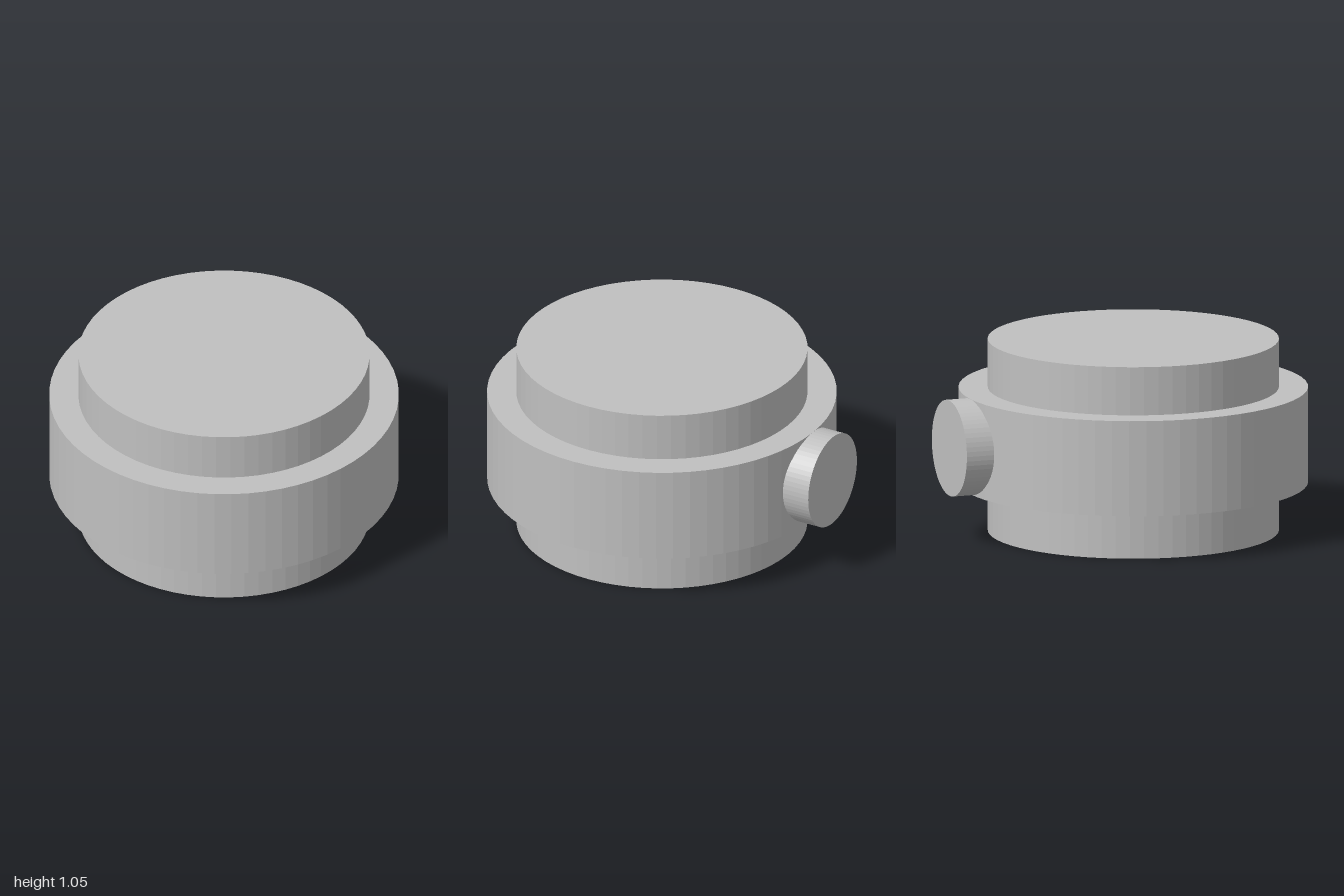
import * as THREE from 'three';

const SEGMENTS = 64;
const CENTER_Z = 0.06;

export function createModel() {
  const group = new THREE.Group();
  group.name = 'housing';
  const grey = new THREE.MeshStandardMaterial({ color: 0xc0c0c0, flatShading: true });
  grey.name = 'plain grey';

  function disc(name, radius, height, y, z) {
    const mesh = new THREE.Mesh(new THREE.CylinderGeometry(radius, radius, height, SEGMENTS), grey);
    mesh.name = name;
    mesh.position.set(0, y, z);
    group.add(mesh);
    return mesh;
  }

  // Stacked round body: narrow base and top with a wide band between
  disc('base', 0.783, 0.264, 0.132, CENTER_Z);
  disc('band', 0.94, 0.522, 0.525, CENTER_Z);
  disc('top', 0.783, 0.264, 0.918, CENTER_Z);

  // Short round port on the back, sunk slightly into the band
  const port = disc('backPort', 0.261, 0.2, 0.525, -0.9);
  port.rotation.x = -Math.PI / 2;

  return group;
}
